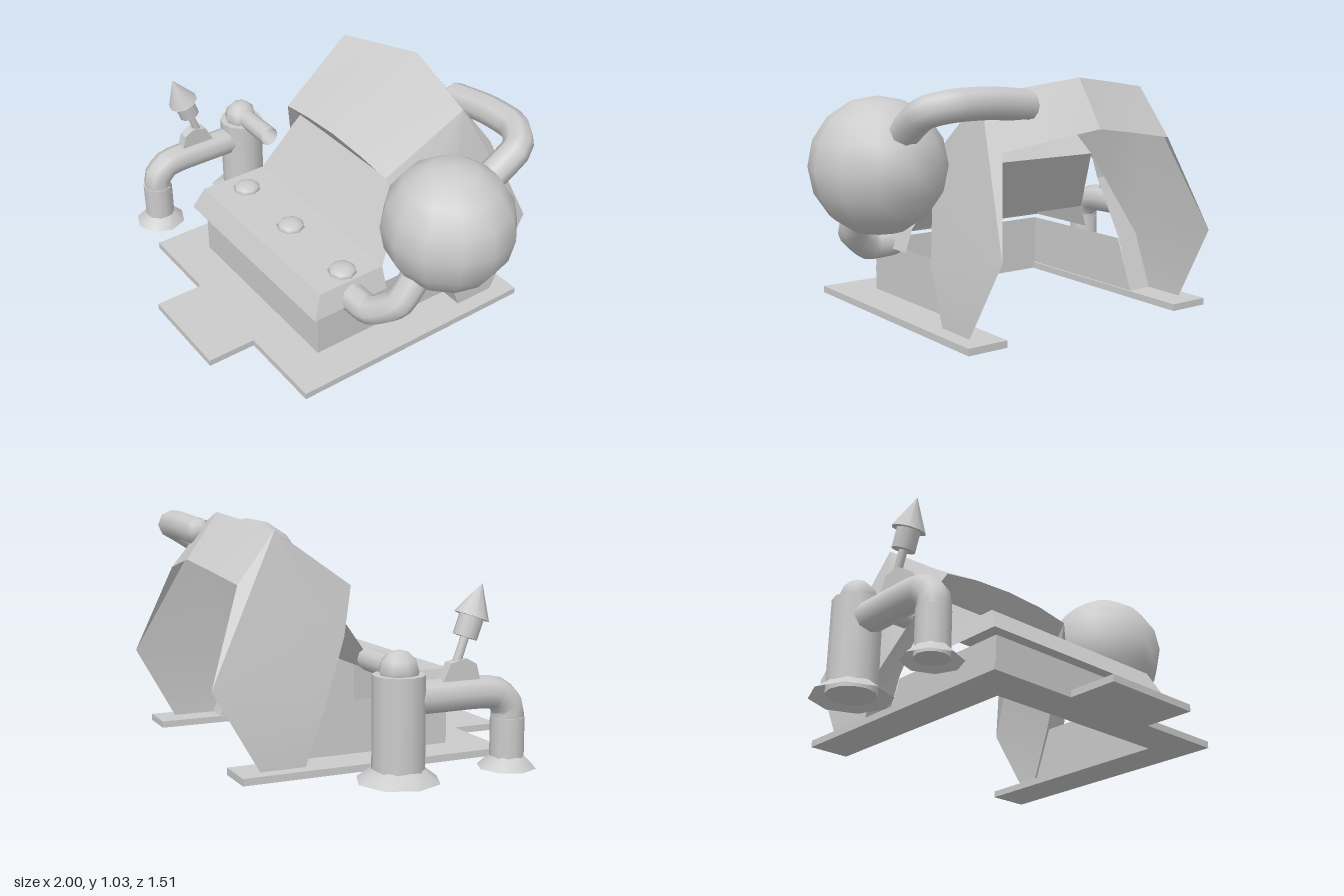
import * as THREE from 'three';
import { toCreasedNormals } from 'three/addons/utils/BufferGeometryUtils.js';

export function createModel() {
  const model = new THREE.Group();
  const mat = new THREE.MeshStandardMaterial({ color: 0xcccccc, side: THREE.DoubleSide });
  const add = (name, geo, x = 0, y = 0, z = 0, parent = model) => {
    const m = new THREE.Mesh(geo, mat);
    m.name = name;
    m.position.set(x, y, z);
    parent.add(m);
    return m;
  };
  const crease = (geo, a = 0.6) => toCreasedNormals(geo, a);

  // Thin sheet from polygons of points, each split into a fan
  const sheet = (polys) => {
    const pos = [];
    for (const p of polys)
      for (let i = 1; i < p.length - 1; i++) pos.push(...p[0], ...p[i], ...p[i + 1]);
    const g = new THREE.BufferGeometry();
    g.setAttribute('position', new THREE.Float32BufferAttribute(pos, 3));
    g.computeVertexNormals();
    return crease(g, 0.35);
  };
  // Quads between two rows of equal length
  const strip = (a, b) => a.slice(1).map((p, i) => [a[i], p, b[i + 1], b[i]]);
  const mirror = (p) => [-p[0], p[1], p[2]];
  const both = (half) => [...half.map(mirror), ...half.slice(0, -1).reverse()];

  const tube = (name, pts, r) => {
    const curve = new THREE.CatmullRomCurve3(pts.map((p) => new THREE.Vector3(...p)), false, 'catmullrom', 0.3);
    return add(name, new THREE.TubeGeometry(curve, 16, r, 8), 0, 0, 0);
  };

  // U-shaped ground plate with a front tongue
  const plate = new THREE.Shape([
    [-0.63, 0.66], [-0.63, -0.53], [-0.225, -0.53], [-0.225, -0.755], [0.235, -0.755], [0.235, -0.53],
    [0.64, -0.53], [0.64, 0.66], [0.455, 0.66], [0.455, -0.345], [-0.445, -0.345], [-0.445, 0.66],
  ].map((p) => new THREE.Vector2(...p)));
  const plateGeo = new THREE.ExtrudeGeometry(plate, { depth: 0.03, bevelEnabled: false });
  plateGeo.rotateX(-Math.PI / 2);
  add('groundPlate', plateGeo);

  // Open-backed base walls
  const wall = [[-0.455, -0.28, -0.37], [-0.455, 0.345, 0.345], [0.465, 0.345, 0.345], [0.465, -0.28, -0.37]];
  add('baseWalls', sheet(strip(
    wall.map(([x, , z]) => [x, 0.03, z]),
    wall.map(([x, z]) => [x, 0.26, z]),
  )));

  // Console ledge with sloped rim, and the leaning panel behind it
  const rimLow = [[-0.505, 0.265, 0.01], [-0.505, 0.265, 0.39], [0.51, 0.265, 0.39], [0.51, 0.265, 0.01]];
  const rimTop = [[-0.475, 0.365, 0.01], [-0.475, 0.365, 0.34], [0.475, 0.365, 0.34], [0.475, 0.365, 0.01]];
  add('consoleLedge', sheet([...strip(rimLow, rimTop), rimTop]));
  add('consolePanel', sheet([[rimTop[0], rimTop[3], [0.39, 0.645, -0.16], [-0.39, 0.645, -0.16]]]));

  // Domed buttons
  for (const x of [-0.365, 0.005, 0.4]) {
    const g = new THREE.SphereGeometry(0.065, 8, 3, 0, Math.PI * 2, 0, Math.PI / 2);
    g.scale(1, 0.45, 1);
    add('button', g, x, 0.365, 0.17);
  }

  // Hood: lip, ridge and rear rim, from the model's side to its middle
  const lip = [[0.37, 0.73, -0.075], [0.2, 0.755, -0.07], [0, 0.765, -0.07]];
  const ridge = [[0.425, 0.97, -0.44], [0.2, 1.003, -0.49], [0, 1.03, -0.535]];
  const rim = [[0.44, 0.76, -0.605], [0.2, 0.8, -0.64], [0, 0.83, -0.67]];
  add('hood', sheet([...strip(both(lip), both(ridge)), ...strip(both(ridge), both(rim))]));

  // Side cheeks of the hood
  const edge = [[0.57, 0.03, -0.37], [0.565, 0.27, -0.28], [0.475, 0.53, -0.155], lip[0]];
  const cheek = [
    [ridge[0], lip[0], edge[2]],
    [ridge[0], edge[2], edge[1]],
    [ridge[0], edge[1], [0.55, 0.365, -0.755], rim[0]],
    [edge[1], edge[0], [0.57, 0.03, -0.565], [0.55, 0.365, -0.755]],
  ];
  add('leftCheek', sheet(cheek));
  add('rightCheek', sheet(cheek.map((f) => f.map(mirror))));

  // Inward flange running up both cheeks and under the hood lip
  const inner = [[0.455, 0.03, -0.37], [0.455, 0.27, -0.28], [0.42, 0.53, -0.17],
    [0.39, 0.645, -0.16], [0.2, 0.645, -0.16], [0, 0.645, -0.16]];
  add('hoodFlange', sheet(strip(both([...edge, lip[1], lip[2]]), both(inner))));

  // Round tank with its two feed pipes
  add('tank', new THREE.SphereGeometry(0.285, 12, 8), 0.717, 0.68, -0.132);
  tube('upperTankPipe', [[0.26, 0.93, -0.53], [0.45, 0.95, -0.55], [0.62, 0.95, -0.55],
    [0.72, 0.92, -0.48], [0.72, 0.82, -0.32]], 0.065);
  add('upperPipeEnd', new THREE.SphereGeometry(0.063, 8, 6), 0.28, 0.93, -0.53);
  tube('lowerTankPipe', [[0.45, 0.285, 0.18], [0.6, 0.285, 0.17], [0.71, 0.37, 0.11], [0.72, 0.52, 0]], 0.065);

  // Standing pipes with flared feet
  const px = -0.83;
  for (const [name, z, r, foot, top] of [['rearStandpipe', -0.09, 0.105, 0.172, 0.43], ['frontStandpipe', 0.41, 0.07, 0.122, 0.22]]) {
    add(name, new THREE.CylinderGeometry(r, r, top - 0.02, 12), px, (top + 0.02) / 2, z);
    add(name + 'Foot', crease(new THREE.CylinderGeometry(r, foot, 0.05, 8, 1, true)), px, 0.035, z);
  }
  tube('crossPipe', [[px, 0.2, 0.41], [px, 0.27, 0.405], [px, 0.32, 0.35], [px, 0.33, 0.27], [px, 0.33, 0.1], [px, 0.33, -0.09]], 0.068);

  // Elbow and outlet on top of the rear pipe
  add('elbow', new THREE.SphereGeometry(0.082, 8, 6), px, 0.445, -0.09);
  const outlet = new THREE.CylinderGeometry(0.047, 0.047, 0.26, 10, 1, true);
  outlet.rotateZ(Math.PI / 2);
  add('outletPipe', outlet, -0.7, 0.45, -0.095);

  // Leaning valve lever on a small bracket
  const bracket = new THREE.Shape([[-0.27, 0.36], [-0.245, 0.45], [-0.2, 0.475], [-0.13, 0.46], [-0.08, 0.36]]
    .map((p) => new THREE.Vector2(...p)));
  const bracketGeo = new THREE.ExtrudeGeometry(bracket, { depth: 0.05, bevelEnabled: false });
  bracketGeo.translate(0, 0, -0.025);
  bracketGeo.rotateY(Math.PI / 2);
  add('leverBracket', bracketGeo, px, 0, 0);
  const lever = new THREE.Group();
  lever.name = 'lever';
  lever.position.set(px, 0.44, 0.16);
  lever.rotation.x = 0.35;
  model.add(lever);
  add('leverRod', new THREE.CylinderGeometry(0.018, 0.018, 0.16, 8), 0, 0.08, 0, lever);
  add('leverCollar', new THREE.CylinderGeometry(0.05, 0.05, 0.09, 10), 0, 0.17, 0, lever);
  add('leverTip', new THREE.ConeGeometry(0.072, 0.14, 10), 0, 0.28, 0, lever);

  return model;
}
